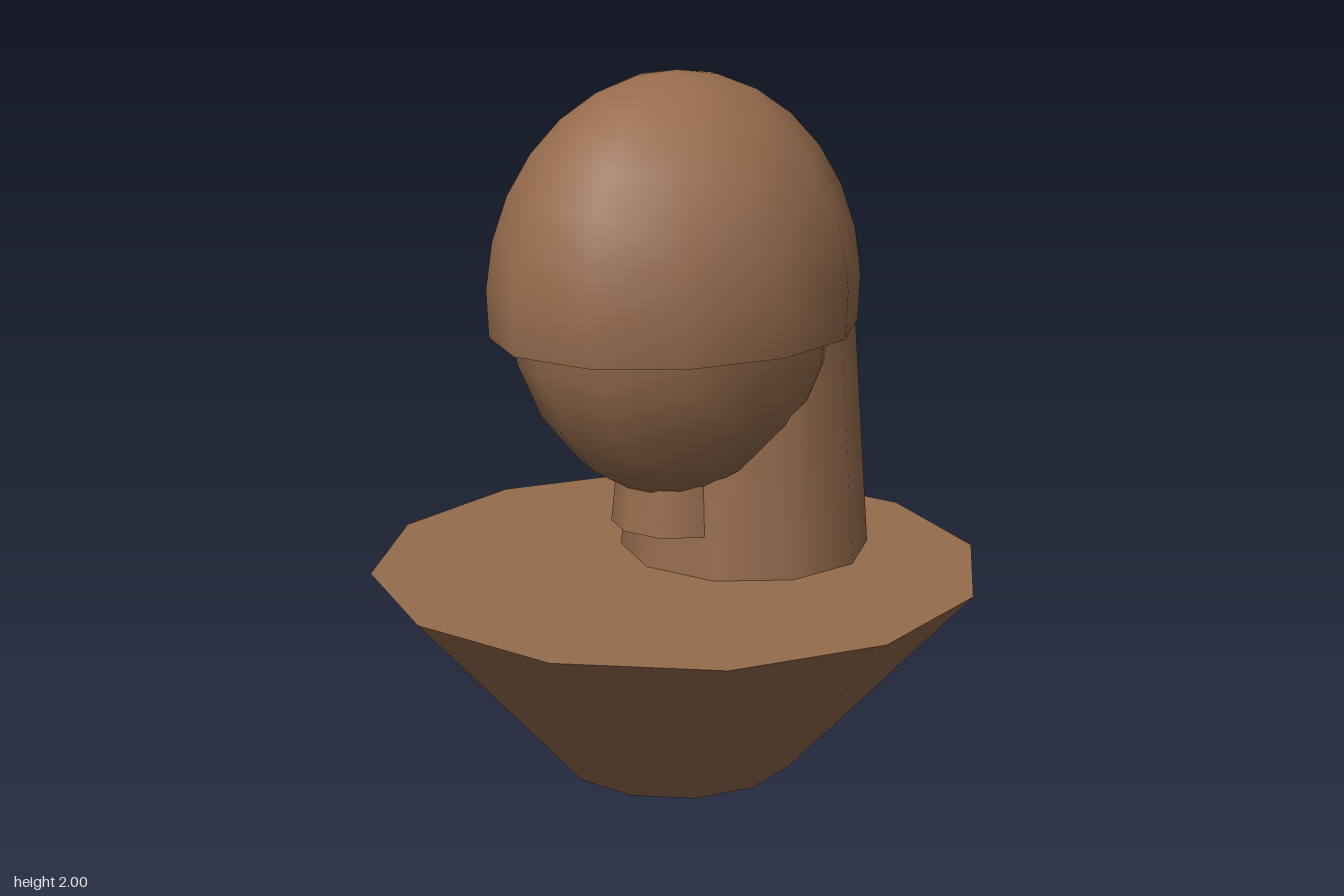
import * as THREE from 'three';

export function createModel() {
  const model = new THREE.Group();
  const skin = new THREE.MeshStandardMaterial({ color: 0x966c4d, side: THREE.DoubleSide });
  skin.name = 'brown';

  function add(name, geometry, y, z = 0) {
    const mesh = new THREE.Mesh(geometry, skin);
    mesh.name = name;
    mesh.position.set(0, y, z);
    model.add(mesh);
    return mesh;
  }

  // Tapered column standing between two heights
  function column(name, topRadius, bottomRadius, y0, y1, sides, z = 0) {
    add(name, new THREE.CylinderGeometry(topRadius, bottomRadius, y1 - y0, sides), (y0 + y1) / 2, z);
  }

  column('shoulders', 0.878, 0.35, 0, 0.593, 12);
  column('neck', 0.305, 0.366, 0.58, 1.42, 10, -0.256);
  column('throat', 0.16, 0.188, 0.715, 1.0, 10);

  // Face ellipsoid
  add('head', new THREE.SphereGeometry(1, 12, 10).scale(0.42, 0.575, 0.495), 1.375);

  // Open shell over the crown, ending just below its widest line
  add('skullCap', new THREE.SphereGeometry(1, 12, 8, 0, Math.PI * 2, 0, Math.PI * 0.55)
    .scale(0.466, 0.625, 0.56), 1.375);

  return model;
}
